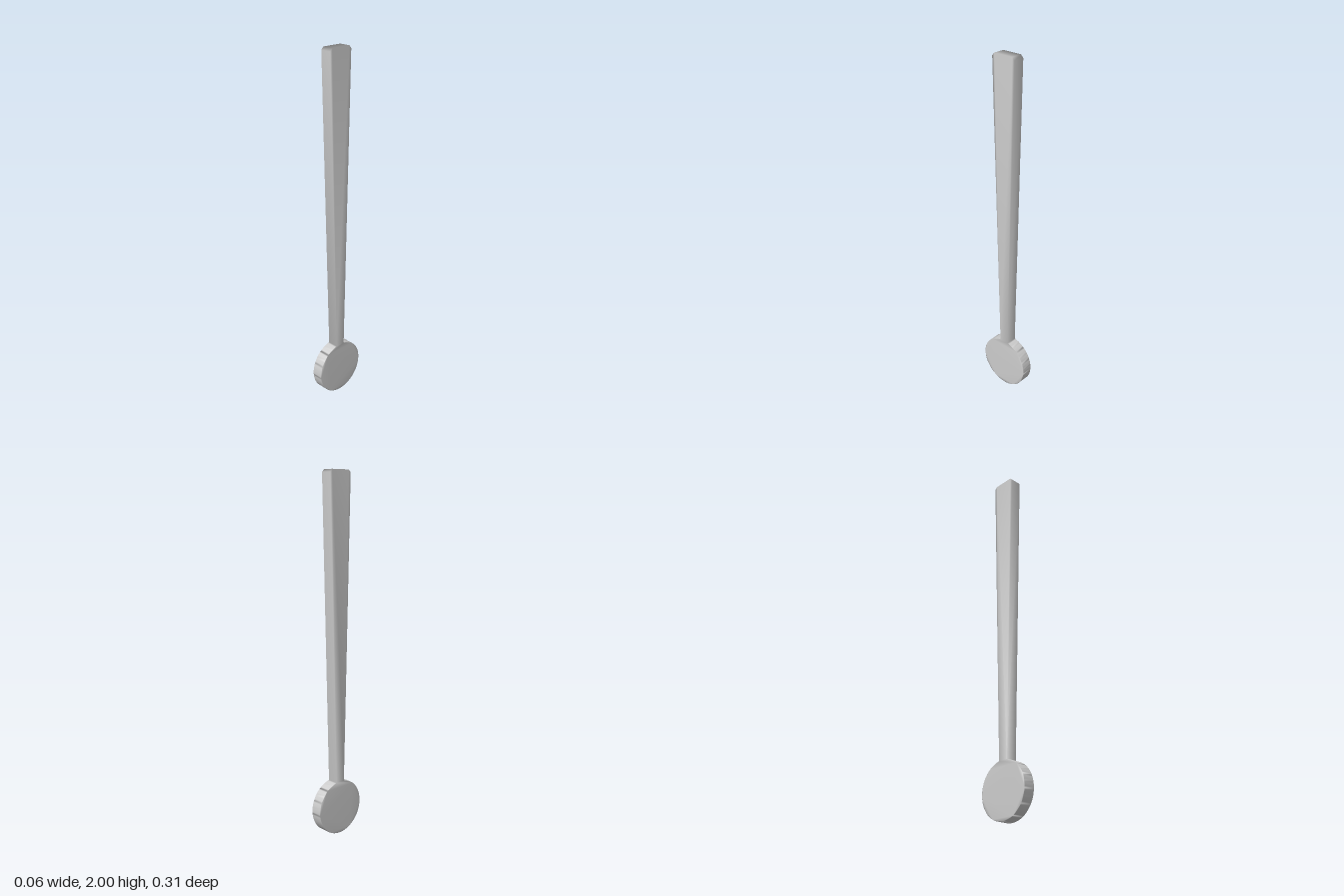
import * as THREE from 'three';
import { mergeVertices } from 'three/addons/utils/BufferGeometryUtils.js';

const THICKNESS = 0.063;
const BOWL_RADIUS = 0.153;
const NECK = 0.028; // half width where the handle meets the disc

// Flat paddle outline: tapered handle with clipped top corners, round disc below
function paddleShape() {
  const neckAngle = Math.asin(NECK / BOWL_RADIUS);
  const shape = new THREE.Shape();
  shape.moveTo(-NECK, BOWL_RADIUS * (1 + Math.cos(neckAngle)));
  shape.absarc(0, BOWL_RADIUS, BOWL_RADIUS, Math.PI / 2 + neckAngle, Math.PI * 2.5 - neckAngle, false);
  shape.lineTo(0.072, 1.985);
  shape.lineTo(0.058, 2);
  shape.lineTo(-0.058, 2);
  shape.lineTo(-0.072, 1.985);
  shape.closePath();
  return shape;
}

export function createModel() {
  const group = new THREE.Group();
  group.name = 'stirringPaddle';

  let geometry = new THREE.ExtrudeGeometry(paddleShape(), {
    depth: THICKNESS, bevelEnabled: false, curveSegments: 48,
  });
  geometry.translate(0, 0, -THICKNESS / 2);
  geometry.rotateY(Math.PI / 2);

  // Weld the corners so the shading runs softly around the edges
  geometry.deleteAttribute('normal');
  geometry.deleteAttribute('uv');
  geometry = mergeVertices(geometry, 1e-5);
  geometry.computeVertexNormals();

  const paddle = new THREE.Mesh(geometry, new THREE.MeshStandardMaterial({ color: 0xcccccc }));
  paddle.name = 'handleAndDisc';
  group.add(paddle);
  return group;
}
